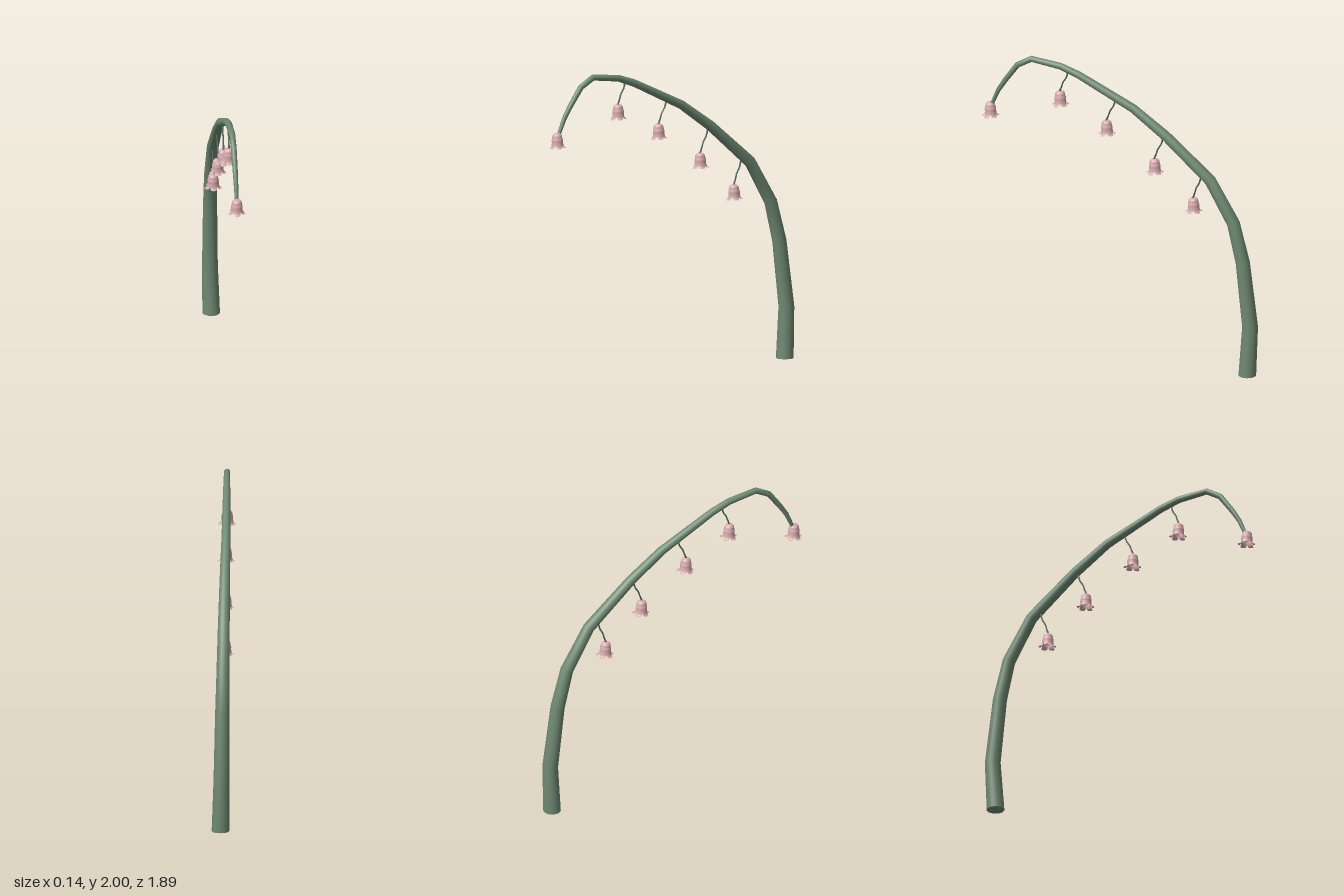
import * as THREE from 'three';

const stemMat = new THREE.MeshStandardMaterial({ color: 0x6f8872 });
const stalkMat = new THREE.MeshStandardMaterial({ color: 0x56665a });
const petalMat = new THREE.MeshStandardMaterial({ color: 0xd9adb0, side: THREE.DoubleSide });

function indexed(positions, index) {
  const g = new THREE.BufferGeometry();
  g.setAttribute('position', new THREE.Float32BufferAttribute(positions, 3));
  g.setIndex(index);
  g.computeVertexNormals();
  return g;
}

// Tapered tube with straight runs between mitred rings; rows are [x, y, z, radius]
function taperedTube(rows, sides) {
  const pts = rows.map(r => new THREE.Vector3(r[0], r[1], r[2]));
  const X = new THREE.Vector3(1, 0, 0), pos = [], idx = [];
  pts.forEach((p, i) => {
    const a = p.clone().sub(pts[Math.max(i - 1, 0)]).normalize();
    const b = pts[Math.min(i + 1, pts.length - 1)].clone().sub(p).normalize();
    const T = a.add(b).normalize();
    if (i === 0) T.set(0, 1, 0).lerp(b, rows[0][1] === 0 ? 0 : 1).normalize();
    const N = T.cross(X).normalize();
    for (let j = 0; j < sides; j++) {
      const t = j / sides * Math.PI * 2, r = rows[i][3];
      const q = p.clone().addScaledVector(X, r * Math.cos(t)).addScaledVector(N, r * Math.sin(t));
      pos.push(q.x, q.y, q.z);
      if (i < pts.length - 1) {
        const k = (j + 1) % sides, o = i * sides, n = o + sides;
        idx.push(o + j, o + k, n + j, o + k, n + k, n + j);
      }
    }
  });
  return indexed(pos, idx);
}

// One lobe of the bell: follows the rim, then flares and curls to a soft point
function lobeGeometry() {
  const curve = new THREE.CatmullRomCurve3([
    [0.036, -0.052], [0.037, -0.068], [0.040, -0.084], [0.048, -0.096], [0.060, -0.095],
  ].map(([r, y]) => new THREE.Vector3(r, y, 0)));
  const nu = 8, nv = 10, pos = [], idx = [];
  for (let i = 0; i <= nv; i++) {
    const v = i / nv, p = curve.getPoint(v);
    const half = 0.024 * Math.sqrt(Math.max(0, 1 - v ** 3)) + 0.0005;
    for (let j = 0; j <= nu; j++) {
      const a = (j / nu * 2 - 1) * half / p.x;
      pos.push(p.x * Math.sin(a), p.y, p.x * Math.cos(a));
      if (i < nv && j < nu) {
        const o = i * (nu + 1) + j, n = o + nu + 1;
        idx.push(o, n, o + 1, o + 1, n, n + 1);
      }
    }
  }
  return indexed(pos, idx);
}

// Closed upper part of the bell, with a slight waist under the crown
const bellGeo = new THREE.LatheGeometry(
  new THREE.SplineCurve([
    [0.036, -0.06], [0.037, -0.047], [0.034, -0.034], [0.032, -0.027],
    [0.031, -0.017], [0.024, -0.006], [0.012, -0.001], [0.0001, 0],
  ].map(p => new THREE.Vector2(...p))).getPoints(18), 20);
const lobeGeo = lobeGeometry();

function mesh(geo, mat, name) {
  const m = new THREE.Mesh(geo, mat);
  m.name = name;
  return m;
}

function flower(x, y, z) {
  const g = new THREE.Group();
  g.name = 'flower';
  g.add(mesh(bellGeo, petalMat, 'bell'));
  for (let i = 0; i < 5; i++) {
    const petal = mesh(lobeGeo, petalMat, 'petal');
    petal.rotation.y = i * Math.PI * 2 / 5;
    g.add(petal);
  }
  g.position.set(x, y, z);
  g.rotation.x = 0.05;
  return g;
}

export function createModel() {
  const model = new THREE.Group();
  model.name = 'bellFlowerStem';

  // Arching stem: y, z, radius
  const path = [
    [0, -0.88, 0.057], [0.335, -0.897, 0.051], [0.77, -0.845, 0.046], [1.03, -0.78, 0.042],
    [1.305, -0.62, 0.038], [1.57, -0.315, 0.033], [1.73, -0.09, 0.029], [1.91, 0.28, 0.024],
    [1.955, 0.407, 0.022], [1.979, 0.605, 0.02], [1.925, 0.70, 0.019], [1.81, 0.783, 0.017],
    [1.735, 0.83, 0.015], [1.635, 0.873, 0.012],
  ].map(([y, z, r]) => [Math.max(-0.017, r - 0.045), y, z, r]);
  model.add(mesh(taperedTube(path, 20), stemMat, 'stem'));

  // Cut end of the stem
  const base = mesh(new THREE.CircleGeometry(0.057, 20), stemMat, 'stemBase');
  base.rotation.x = Math.PI / 2;
  base.position.set(path[0][0], 0, path[0][2]);
  model.add(base);

  // Flower closing the tip
  model.add(flower(-0.017, 1.645, 0.887));

  // Hanging flowers: stalk start y, z, then flower top y, z
  for (const [y0, z0, y1, z1] of [
    [1.92, 0.355, 1.785, 0.41], [1.77, 0.03, 1.625, 0.092],
    [1.55, -0.295, 1.402, -0.235], [1.32, -0.555, 1.168, -0.5],
  ]) {
    const at = (t, wave, r) => [-0.015, y0 + (y1 - y0) * t, z0 + (z1 - z0) * t + wave, r];
    const stalk = [at(0, 0, 0.006), at(0.3, -0.004, 0.005), at(0.55, 0.004, 0.005),
      at(0.75, 0.001, 0.005), at(1.03, 0, 0.006)];
    model.add(mesh(taperedTube(stalk, 8), stalkMat, 'flowerStalk'));
    model.add(flower(-0.017, y1, z1));
  }
  return model;
}
